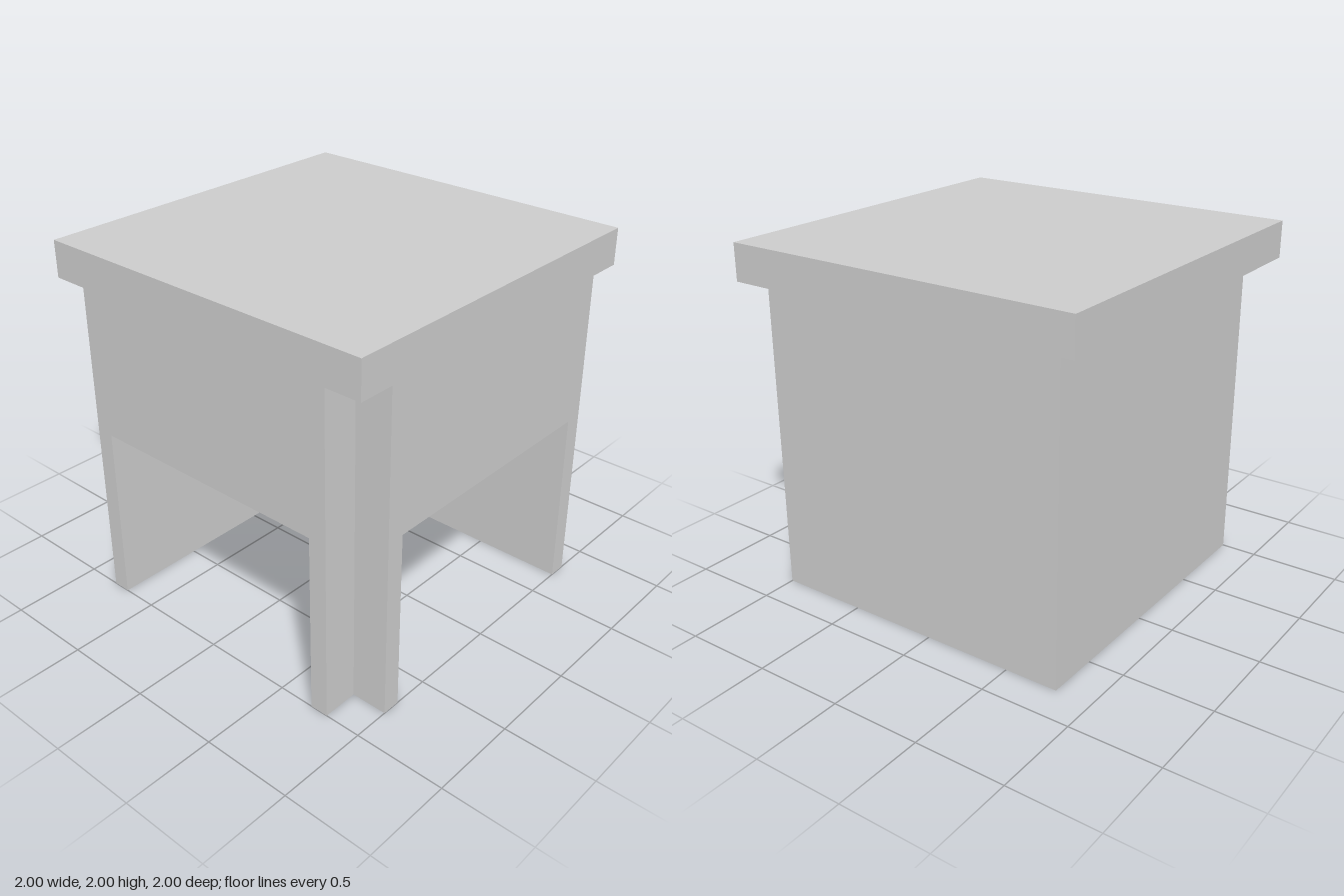
import * as THREE from 'three';

const material = new THREE.MeshStandardMaterial({ color: 0xcccccc, flatShading: true });

// Prism from an (x, z) floor plan, standing between two heights
function prism(name, plan, bottom, top) {
  const shape = new THREE.Shape(plan.map(([x, z]) => new THREE.Vector2(x, z)));
  const geometry = new THREE.ExtrudeGeometry(shape, { depth: top - bottom, bevelEnabled: false });
  geometry.rotateX(Math.PI / 2).translate(0, top, 0);
  const mesh = new THREE.Mesh(geometry, material);
  mesh.name = name;
  return mesh;
}

export function createModel() {
  const group = new THREE.Group();
  group.name = 'table';

  // Overhanging square top
  const top = new THREE.Mesh(new THREE.BoxGeometry(2, 0.2, 2), material);
  top.name = 'tableTop';
  top.position.y = 1.9;

  // Solid upper block, notched at the front left corner
  const body = prism('upperBody', [
    [-0.8, -0.8], [1, -0.8], [1, 0.8], [0.8, 0.8], [0.8, 1], [-0.8, 1],
  ], 1, 1.8);

  // Back wall and side wall, joined in an L
  const walls = prism('cornerWalls', [
    [-0.8, -0.8], [1, -0.8], [1, -0.7], [-0.7, -0.7], [-0.7, 1], [-0.8, 1],
  ], 0, 1);

  // L-section leg under the notched corner, its open side facing outwards
  const leg = prism('cornerLeg', [
    [0.7, 0.7], [1, 0.7], [1, 0.8], [0.8, 0.8], [0.8, 1], [0.7, 1],
  ], 0, 1);

  group.add(top, body, walls, leg);
  return group;
}
